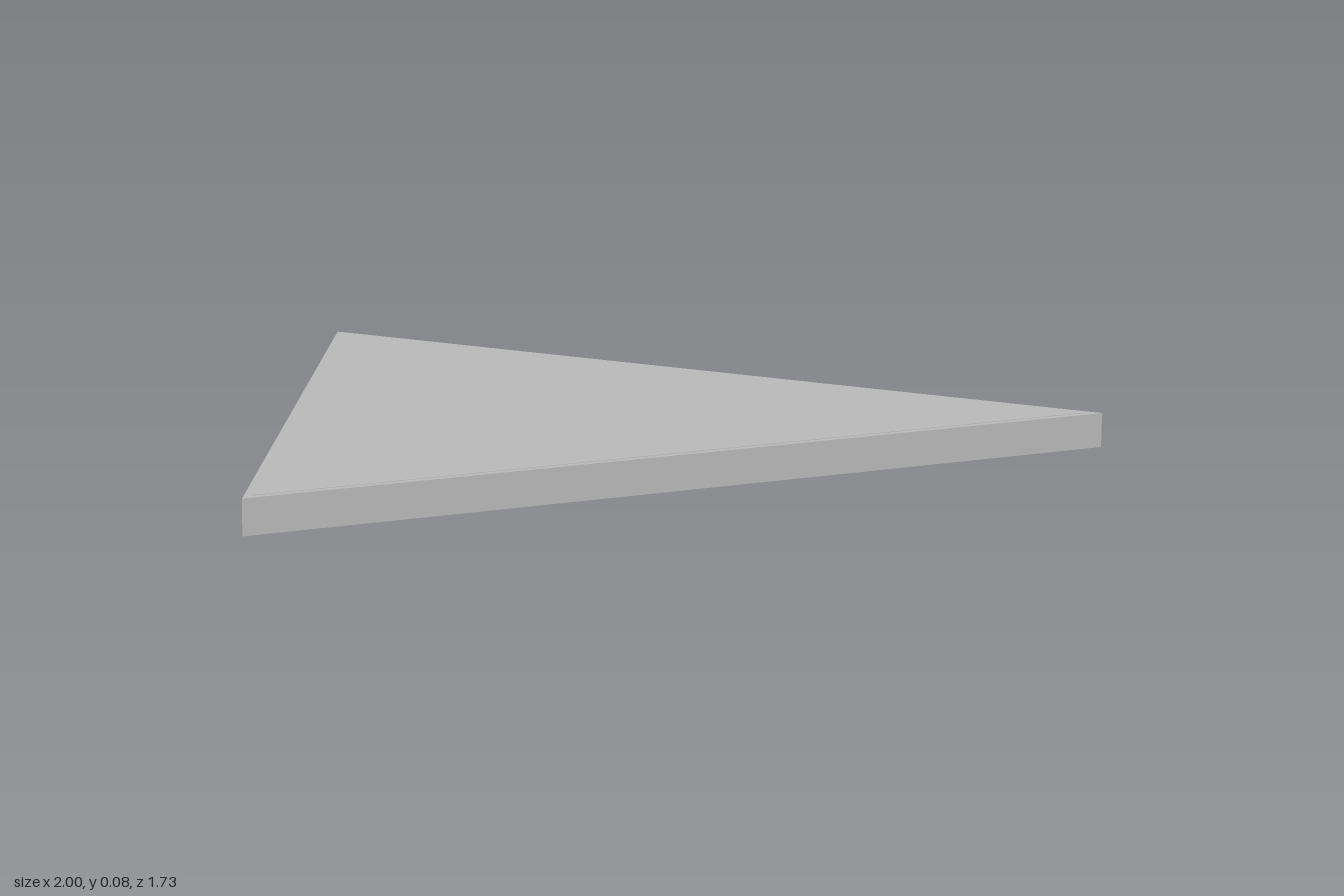
import * as THREE from 'three';

const H = Math.sqrt(3);        // altitude of the triangle with side 2
const IN = H / 3;              // inradius
const WALL = 0.0175, LEDGE = 0.052;
const TOP = 0.075, RIB_LOW = 0.035, RIB_TOP = 0.062;

// Corners of the triangle moved inwards by d, in shape space (y = -z)
function corners(d) {
  const k = 1 - d / IN;
  const cy = H / 2 - IN;
  return [[-1, H / 2], [0, -H / 2], [1, H / 2]]
    .map(([x, y]) => new THREE.Vector2(x * k, cy + (y - cy) * k));
}

// Upright triangular prism, hollow when an inner inset is given
function prism(outer, inner, y0, y1) {
  const shape = new THREE.Shape(corners(outer));
  if (inner !== null) shape.holes.push(new THREE.Path(corners(inner)));
  const geo = new THREE.ExtrudeGeometry(shape, { depth: y1 - y0, bevelEnabled: false });
  return geo.rotateX(-Math.PI / 2).translate(0, y0, 0);
}

// Point s along the right-hand edge and t inwards from it
function onPlan(s, t) {
  return new THREE.Vector2(-1 + s * 0.5 + t * H / 2, -H / 2 + s * H / 2 - t * 0.5);
}

// Straight rib between two plan points
function rib(a, b, width) {
  const geo = new THREE.BoxGeometry(a.distanceTo(b), RIB_TOP - RIB_LOW, width);
  geo.rotateY(-Math.atan2(b.y - a.y, b.x - a.x));
  return geo.translate((a.x + b.x) / 2, (RIB_LOW + RIB_TOP) / 2, (a.y + b.y) / 2);
}

export function createModel() {
  const group = new THREE.Group();
  const grey = new THREE.MeshStandardMaterial({ color: 0xb8b8b8 });
  grey.name = 'grey';

  const add = (name, geo) => {
    const mesh = new THREE.Mesh(geo, grey);
    mesh.name = name;
    group.add(mesh);
  };

  // Outer wall, deck panel and the ledge under the deck
  add('outerWall', prism(0, WALL, 0, TOP - 0.001));
  add('deckPanel', prism(WALL, null, 0.06, TOP));
  add('innerLedge', prism(WALL, LEDGE, RIB_LOW, RIB_TOP));

  // Three ribs square to the right-hand edge
  [[0.5, 0.83], [1, 1.64], [1.5, 0.83]].forEach(([s, end], i) =>
    add('crossRib' + (i + 1), rib(onPlan(s, 0.012), onPlan(s, end), 0.032)));

  // One rib running parallel to that edge
  add('longRib', rib(onPlan(0.31, 0.5), onPlan(1.69, 0.5), 0.032));

  return group;
}
